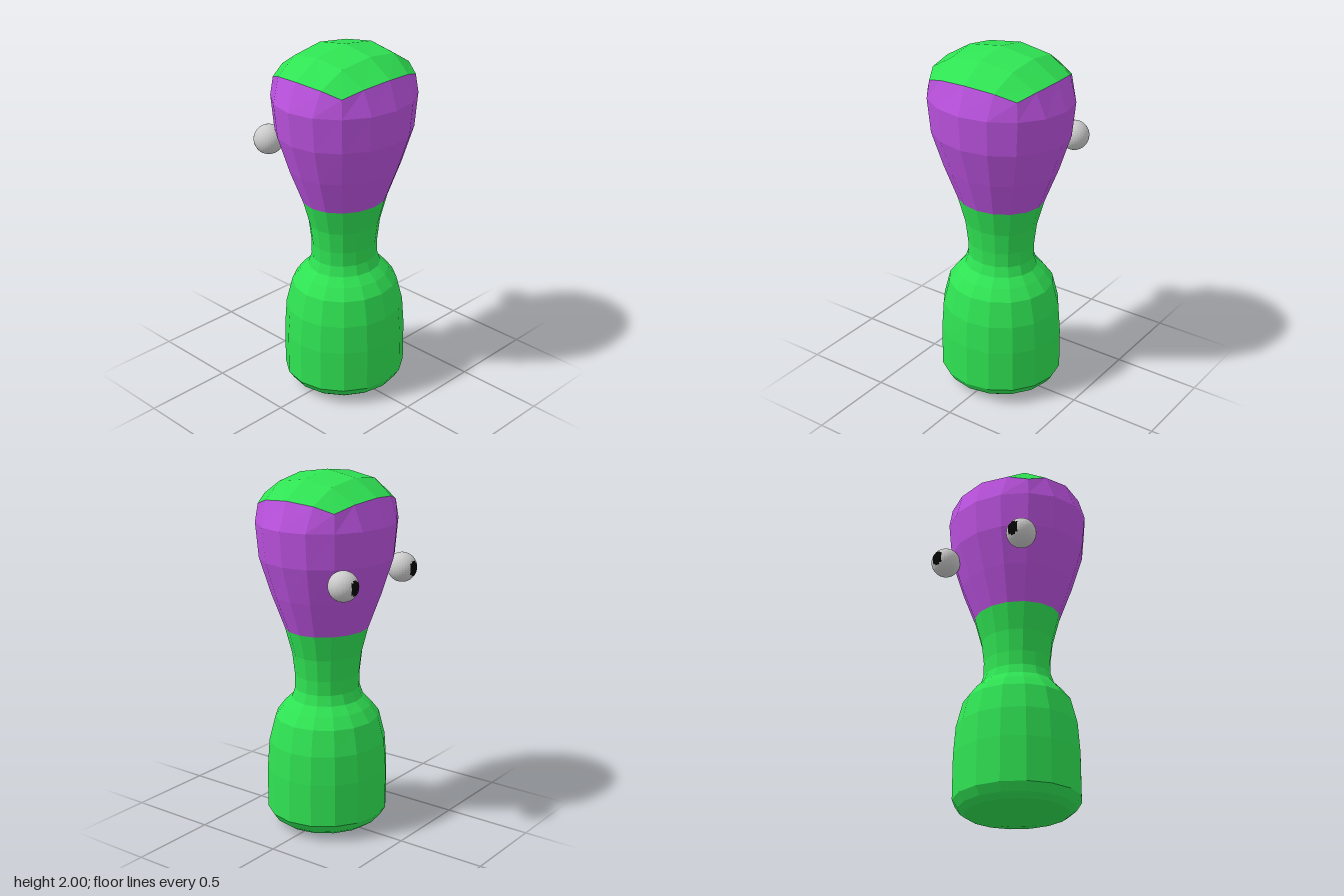
import * as THREE from 'three';

const SIDES = 16;
const green = new THREE.MeshStandardMaterial({ color: 0x2fe353, flatShading: true });
const purple = new THREE.MeshStandardMaterial({ color: 0xbb52df, flatShading: true });
const grey = new THREE.MeshStandardMaterial({ color: 0xcccccc, flatShading: true });
const black = new THREE.MeshStandardMaterial({ color: 0x050505, flatShading: true });

// Skins a grid of points (rows of equal length) with quads
function skin(rows, name, material) {
  const n = rows[0].length, index = [];
  for (let r = 0; r < rows.length - 1; r++) {
    for (let k = 0; k < n - 1; k++) {
      const a = r * n + k, b = a + n;
      index.push(a, a + 1, b + 1, a, b + 1, b);
    }
  }
  const indexed = new THREE.BufferGeometry();
  indexed.setAttribute('position', new THREE.Float32BufferAttribute(rows.flat(2), 3));
  indexed.setIndex(index);
  const geometry = indexed.toNonIndexed();
  geometry.computeVertexNormals();
  const mesh = new THREE.Mesh(geometry, material);
  mesh.name = name;
  return mesh;
}

// Level oval ring from [height, x radius, z radius]
function ring([y, rx, rz]) {
  return Array.from({ length: SIDES + 1 }, (_, k) => {
    const a = (k / SIDES) * Math.PI * 2;
    return [rx * Math.sin(a), y, rz * Math.cos(a)];
  });
}

// One quarter of the crown, mirrored to all four: crown[|i|][|j|] = [x, y, z]
const crown = [
  [[0, 2, 0], [0, 1.97, 0.2], [0, 1.88, 0.35]],
  [[0.18, 1.97, 0], [0.17, 1.945, 0.19], [0.155, 1.865, 0.325]],
  [[0.318, 1.88, 0], [0.295, 1.865, 0.165], [0.25, 1.83, 0.275]],
];
function crownPoint(i, j) {
  const [x, y, z] = crown[Math.abs(i)][Math.abs(j)];
  return [Math.sign(i) * x, y, Math.sign(j) * z];
}

// Walks around the square border of the crown in 16 steps
function crownBorder() {
  const step = (k) => THREE.MathUtils.clamp(4 - Math.abs(((k + 4) % 16) - 8), -2, 2);
  return Array.from({ length: SIDES + 1 }, (_, k) => crownPoint(step(k), step(k + 4)));
}

function createEye(side) {
  const eye = new THREE.Group();
  eye.name = side > 0 ? 'eyeFront' : 'eyeBack';
  const ball = new THREE.Mesh(new THREE.SphereGeometry(0.081, 32, 24), grey);
  ball.name = 'eyeball';
  eye.add(ball);
  // Stepped round pupil: patches of sphere cells facing -x
  const cell = Math.PI / 24, turn = Math.PI / 16;
  for (const [w, h] of [[2, 3], [1, 4]]) {
    const patch = new THREE.Mesh(
      new THREE.SphereGeometry(0.082, w * 2, h * 2, -w * turn, 2 * w * turn,
        Math.PI / 2 - h * cell, 2 * h * cell), black);
    patch.name = 'pupil';
    eye.add(patch);
  }
  eye.position.set(-0.296, 1.465, side * 0.268);
  return eye;
}

export function createModel() {
  const model = new THREE.Group();
  const figure = new THREE.Group();
  figure.name = 'figure';
  figure.position.x = 0.007;

  // Bulging base, narrow waist and flaring neck
  const bodyProfile = [
    [0, 0, 0], [0.012, 0.17, 0.18], [0.03, 0.27, 0.28], [0.055, 0.305, 0.315],
    [0.1, 0.332, 0.346], [0.34, 0.331, 0.345], [0.5, 0.32, 0.333], [0.64, 0.285, 0.297],
    [0.7, 0.24, 0.25], [0.745, 0.193, 0.208], [0.8, 0.173, 0.19], [0.88, 0.173, 0.19],
    [1.0, 0.186, 0.205], [1.145, 0.222, 0.246],
  ];
  figure.add(skin(bodyProfile.map(ring), 'body', green));

  // Head band, ending at the crown border
  const headProfile = [
    [1.145, 0.222, 0.246], [1.34, 0.292, 0.322], [1.54, 0.355, 0.385], [1.73, 0.37, 0.405],
  ];
  figure.add(skin([...headProfile.map(ring), crownBorder()], 'head', purple));

  // Domed crown
  const grid = [-2, -1, 0, 1, 2];
  figure.add(skin(grid.map((i) => grid.map((j) => crownPoint(i, j))), 'crown', green));

  model.add(figure, createEye(1), createEye(-1));
  return model;
}
